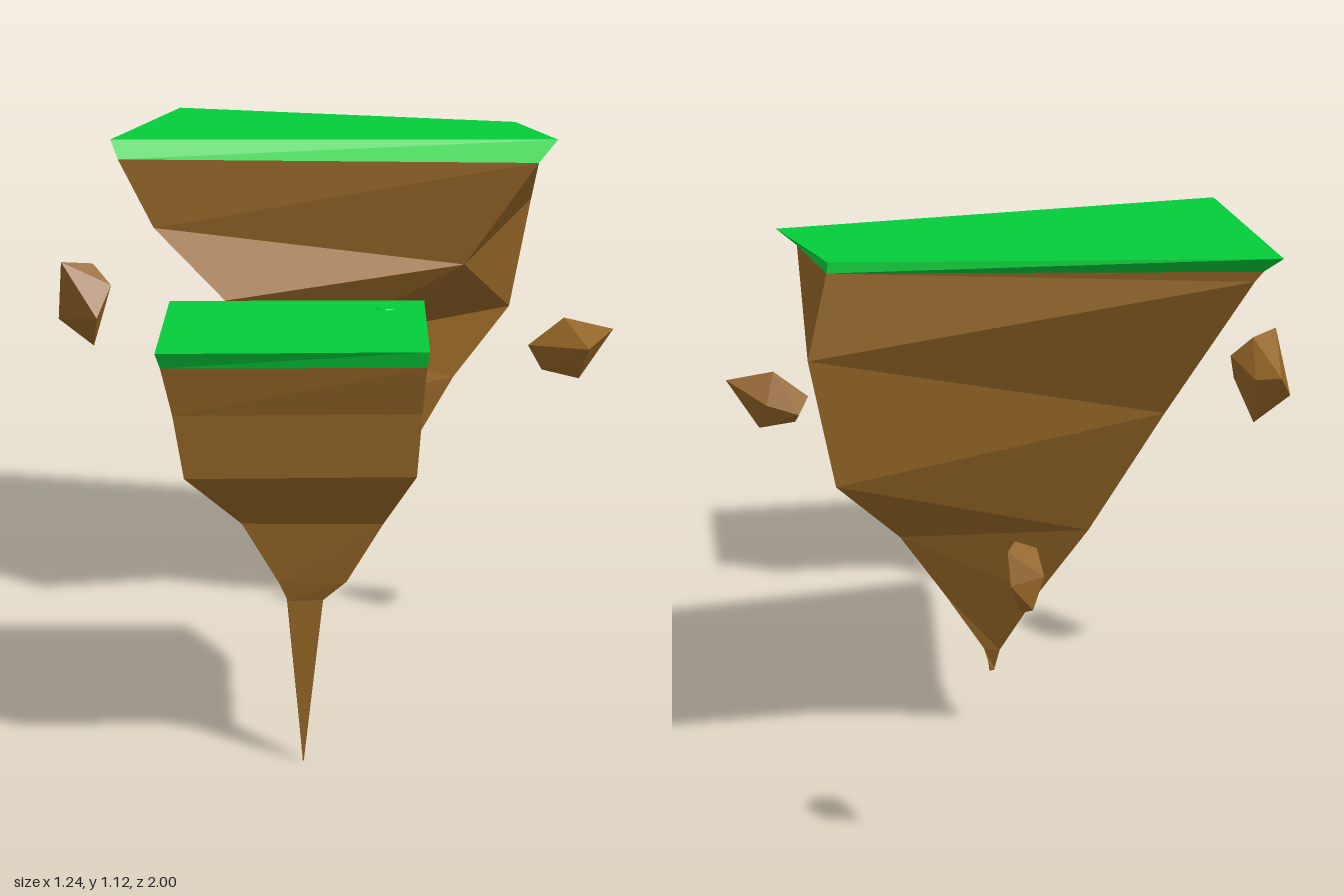
import * as THREE from 'three';
import { ConvexGeometry } from 'three/addons/geometries/ConvexGeometry.js';

const material = (color) => new THREE.MeshStandardMaterial({ color, flatShading: true, side: THREE.DoubleSide });
const soil = material(0x936426);
const grass = material(0x04cc3a);

// Skins rings of four corners [x, y, z] (back left, back right, front right, front left), top to bottom.
// Sides listed in flips are split along the other diagonal.
function loft(rings, flips = []) {
  const pos = [];
  const tri = (...corners) => corners.forEach((p) => pos.push(...p));
  const [a0, b0, c0, d0] = rings[0];
  tri(a0, d0, c0);
  tri(a0, c0, b0);
  for (let r = 0; r < rings.length - 1; r++) {
    for (let i = 0; i < 4; i++) {
      const j = (i + 1) % 4;
      const [A, B, a, b] = [rings[r][i], rings[r][j], rings[r + 1][i], rings[r + 1][j]];
      if (flips.includes(i)) { tri(A, B, a); tri(B, b, a); }
      else { tri(A, B, b); tri(A, b, a); }
    }
  }
  const [a, b, c, d] = rings[rings.length - 1];
  tri(a, c, d);
  tri(a, b, c);
  const geo = new THREE.BufferGeometry();
  geo.setAttribute('position', new THREE.Float32BufferAttribute(pos, 3));
  geo.computeVertexNormals();
  return geo;
}

function add(group, name, geometry, mat) {
  const mesh = new THREE.Mesh(geometry, mat);
  mesh.name = name;
  group.add(mesh);
  return mesh;
}

// Level ring: height followed by four [x, z] corners
const level = (y, ...corners) => corners.map(([x, z]) => [x, y, z]);

function largeIsland() {
  const g = new THREE.Group();
  g.name = 'largeIsland';
  const top = [[-0.46, 1.12, -0.67], [0.38, 1.105, -0.565], [0.49, 1.105, -0.17], [-0.46, 1.12, 0.09]];
  const rim = [[-0.44, 1.08, -0.585], [0.383, 1.085, -0.567], [0.45, 1.06, -0.11], [-0.44, 1.08, 0.11]];
  add(g, 'largeGrass', loft([top, rim]), grass);
  add(g, 'largeSoil', loft([
    rim,
    [[-0.425, 1.06, -0.58], [0.422, 0.92, -0.58], [0.29, 0.83, -0.12], [-0.37, 0.93, 0.085]],
    [[-0.28, 0.77, -0.44], [0.375, 0.66, -0.54], [-0.04, 0.66, -0.04], [-0.2, 0.79, 0.17]],
    [[-0.14, 0.5, -0.35], [0.25, 0.51, -0.4], [0.01, 0.52, -0.065], [-0.11, 0.5, -0.07]],
    [[-0.04, 0.34, -0.29], [0.155, 0.35, -0.31], [0.05, 0.4, -0.09], [-0.03, 0.38, -0.1]],
    [[0.035, 0.19, -0.22], [0.07, 0.2, -0.235], [0.065, 0.2, -0.175], [0.035, 0.2, -0.175]],
    [[0.045, 0.14, -0.2], [0.053, 0.14, -0.215], [0.055, 0.13, -0.19], [0.045, 0.13, -0.185]],
  ], [0, 1]), soil);
  return g;
}

function smallIsland() {
  const g = new THREE.Group();
  g.name = 'smallIsland';
  const top = level(0.85, [-0.25, 0.505], [0.245, 0.435], [0.295, 0.925], [-0.175, 1]);
  const rim = level(0.82, [-0.245, 0.51], [0.245, 0.45], [0.29, 0.915], [-0.17, 0.98]);
  add(g, 'smallGrass', loft([top, rim]), grass);
  add(g, 'smallSoil', loft([
    rim,
    level(0.73, [-0.22, 0.54], [0.255, 0.5], [0.28, 0.885], [-0.155, 0.955]),
    level(0.61, [-0.19, 0.565], [0.22, 0.52], [0.27, 0.87], [-0.14, 0.935]),
    level(0.49, [-0.1, 0.65], [0.14, 0.61], [0.2, 0.77], [-0.06, 0.8]),
    level(0.37, [-0.02, 0.705], [0.08, 0.69], [0.13, 0.755], [0.005, 0.775]),
    level(0.33, [0.01, 0.715], [0.065, 0.708], [0.085, 0.748], [0.02, 0.762]),
    level(0, [0.044, 0.736], [0.046, 0.736], [0.046, 0.738], [0.044, 0.738]),
  ]), soil);
  // Small round stub set in the turf
  const stub = add(g, 'turfStub', new THREE.CylinderGeometry(0.018, 0.024, 0.01, 16), grass);
  stub.position.set(0.18, 0.847, 0.53);
  return g;
}

// Floating rocks as faceted hulls
const rocks = {
  rightRock: [[-0.595, 0.84, 0.02], [-0.535, 0.83, -0.03], [-0.58, 0.76, -0.13], [-0.53, 0.75, -0.1],
    [-0.49, 0.785, -0.01], [-0.62, 0.7, -0.04], [-0.54, 0.64, -0.04], [-0.51, 0.72, 0.05]],
  leftRock: [[0.44, 0.69, 0.07], [0.515, 0.75, 0.06], [0.46, 0.66, 0.02], [0.53, 0.68, 0.03],
    [0.62, 0.73, 0.07], [0.55, 0.62, 0.07], [0.47, 0.635, 0.06], [0.57, 0.7, 0.15]],
  backRock: [[0.01, 0.62, -0.98], [0.075, 0.67, -0.99], [0.06, 0.68, -0.96], [0.02, 0.66, -0.94],
    [0.06, 0.6, -0.935], [0.05, 0.55, -0.97], [0.03, 0.56, -0.985], [0.07, 0.61, -1]],
  lowerRock: [[0.05, 0.34, -0.06], [0.08, 0.365, -0.04], [0.1, 0.35, -0.07], [0.11, 0.32, -0.06],
    [0.08, 0.32, -0.085], [0.07, 0.29, -0.07], [0.085, 0.3, -0.045]],
};

export function createModel() {
  const model = new THREE.Group();
  model.name = 'floatingIslands';
  model.add(largeIsland(), smallIsland());
  for (const [name, points] of Object.entries(rocks)) {
    add(model, name, new ConvexGeometry(points.map((p) => new THREE.Vector3(...p))), soil);
  }
  return model;
}
